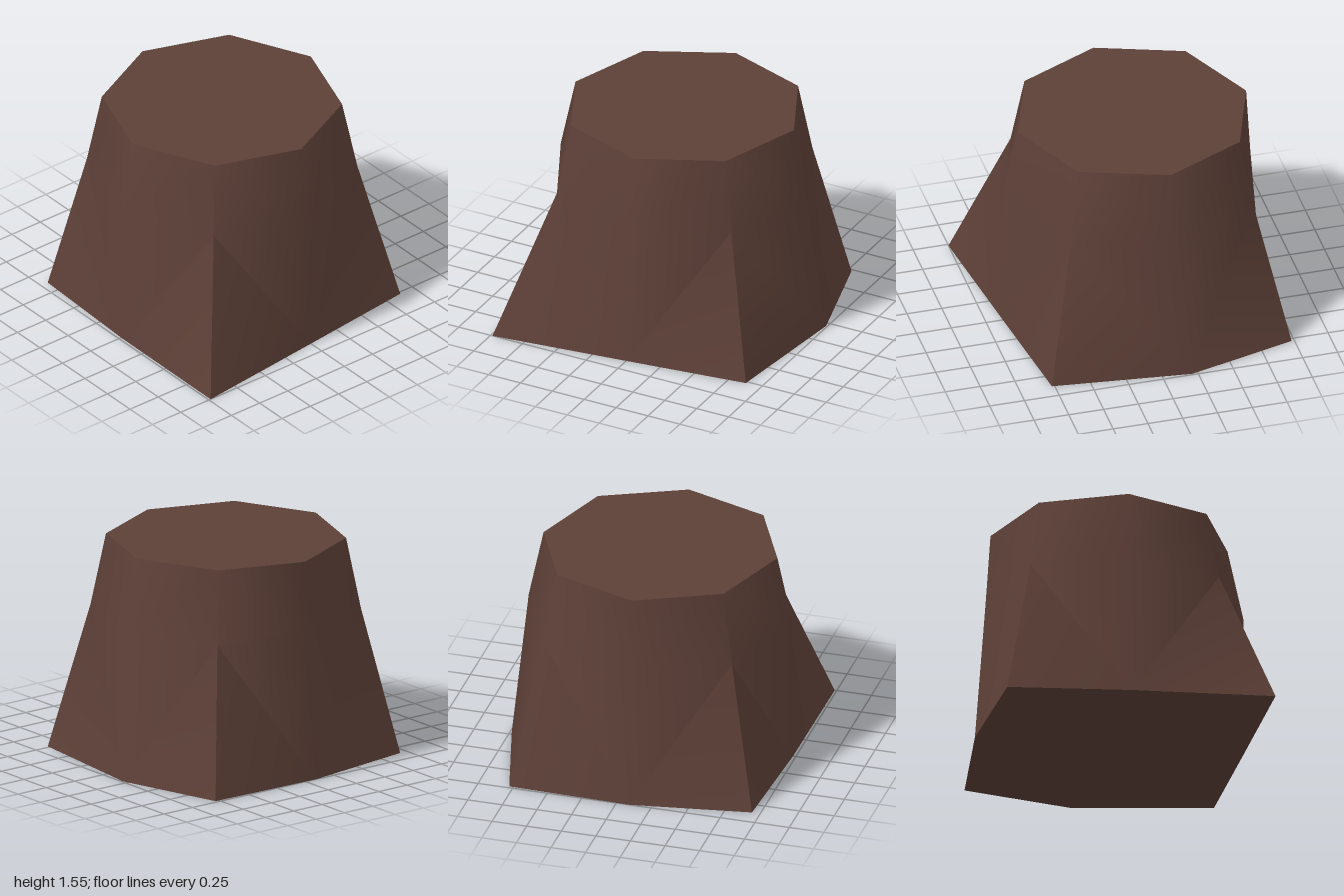
import * as THREE from 'three';
import { toCreasedNormals } from 'three/addons/utils/BufferGeometryUtils.js';

// Eight-sided cross-sections as [x, z], running from the +x side towards +z
const base = [[0.88, 0], [1, 0.985], [0, 0.98], [-0.865, 0.94], [-1, 0.09], [-0.98, -0.78], [-0.21, -0.99], [0.77, -0.88]];
const middle = [[0.88, 0], [0.64, 0.67], [0, 0.98], [-0.68, 0.74], [-0.925, 0.1], [-0.76, -0.59], [-0.1, -0.9], [0.57, -0.66]];
const top = [[0.77, 0], [0.56, 0.6], [-0.01, 0.87], [-0.615, 0.66], [-0.89, 0.08], [-0.68, -0.52], [-0.11, -0.79], [0.5, -0.58]];

const ring = (points, y) => points.map(([x, z]) => [x, y, z]);

function geometryFrom(triangles) {
  const geometry = new THREE.BufferGeometry();
  geometry.setAttribute('position', new THREE.Float32BufferAttribute(triangles.flat(2), 3));
  geometry.computeVertexNormals();
  return geometry;
}

export function createModel() {
  const stump = new THREE.Group();
  stump.name = 'treeStump';
  const bark = new THREE.MeshStandardMaterial({ color: 0x5d4037 });
  bark.name = 'barkBrown';

  const rings = [ring(base, 0), ring(middle, 1.04), ring(top, 1.55)];
  const n = base.length;

  // Bark walls: diagonals run from the root corners' upper ends to the base between them
  const walls = [];
  for (let r = 0; r < 2; r++) {
    const low = rings[r], high = rings[r + 1];
    for (let i = 0; i < n; i++) {
      const j = (i + 1) % n;
      if (i % 2 === 0) walls.push([low[j], low[i], high[j]], [low[i], high[i], high[j]]);
      else walls.push([low[j], low[i], high[i]], [low[j], high[i], high[j]]);
    }
  }
  const trunk = new THREE.Mesh(toCreasedNormals(geometryFrom(walls), Math.PI / 3), bark);
  trunk.name = 'trunk';

  // Flat cut top and underside
  const topFaces = [], bottomFaces = [];
  for (let i = 1; i < n - 1; i++) {
    topFaces.push([rings[2][0], rings[2][i + 1], rings[2][i]]);
    bottomFaces.push([rings[0][2], rings[0][(i + 2) % n], rings[0][(i + 3) % n]]);
  }
  const cutTop = new THREE.Mesh(geometryFrom(topFaces), bark);
  cutTop.name = 'cutTop';
  const underside = new THREE.Mesh(geometryFrom(bottomFaces), bark);
  underside.name = 'underside';

  stump.add(trunk, cutTop, underside);
  return stump;
}
